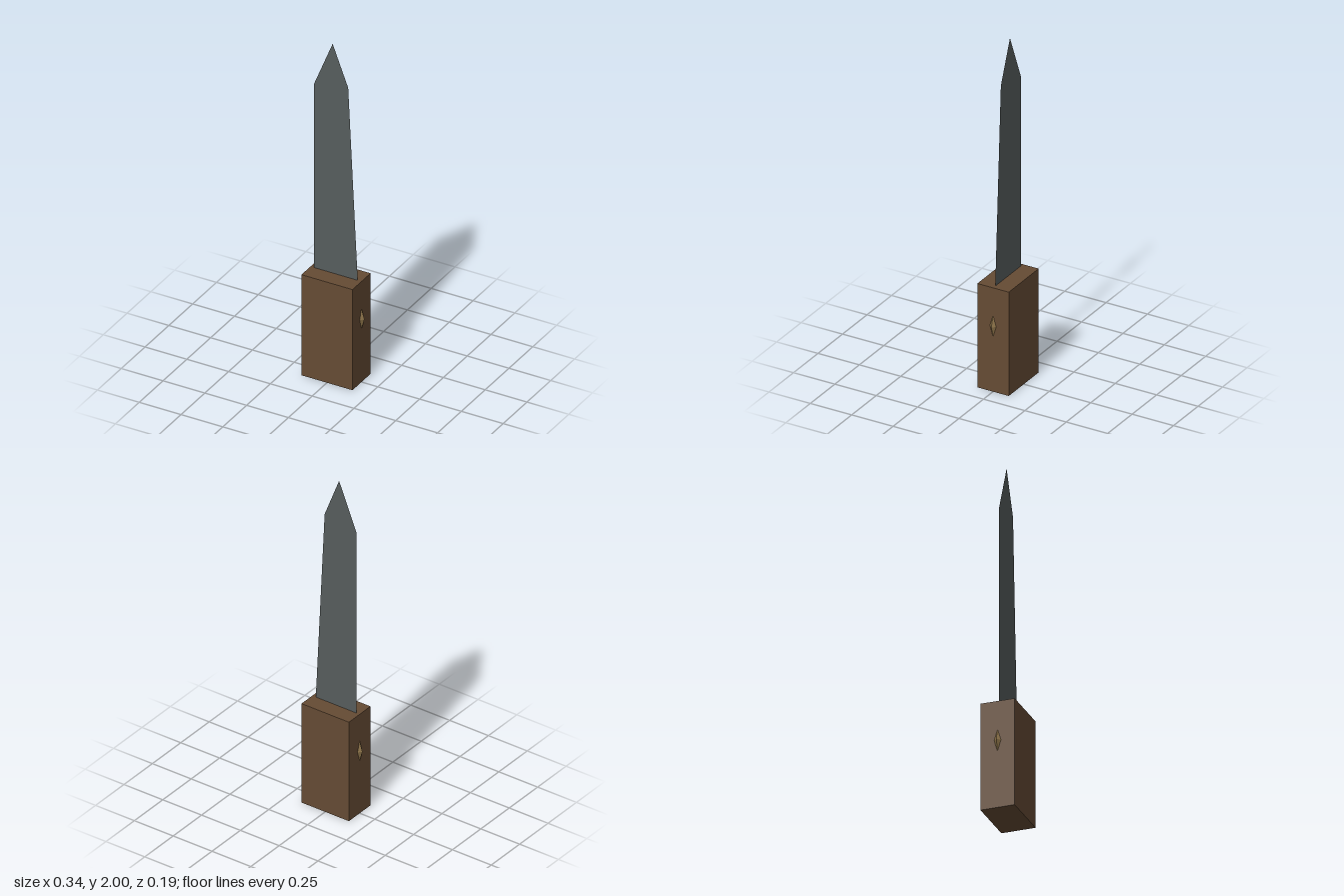
import * as THREE from 'three';

export function createModel() {
  const wood = new THREE.MeshStandardMaterial({ color: 0x654b34, flatShading: true });
  wood.name = 'brown wood';
  const steel = new THREE.MeshStandardMaterial({ color: 0x565d5d, flatShading: true, side: THREE.DoubleSide });
  steel.name = 'grey steel';
  const brass = new THREE.MeshStandardMaterial({ color: 0x8c7349, flatShading: true });
  brass.name = 'dull brass';

  const group = new THREE.Group();
  group.name = 'knife';
  const add = (name, geometry, material) => {
    const mesh = new THREE.Mesh(geometry, material);
    mesh.name = name;
    group.add(mesh);
    return mesh;
  };

  // Square block handle
  const handleHeight = 0.61;
  add('handle', new THREE.BoxGeometry(0.305, handleHeight, 0.19), wood)
    .position.y = handleHeight / 2;

  // Flat sheet blade: straight back, tapering edge, pointed tip
  const outline = [
    [-0.133, handleHeight], [0.13, handleHeight], [0.073, 1.76], [-0.02, 2], [-0.133, 1.72],
  ].map(([x, y]) => new THREE.Vector2(x, y));
  add('blade', new THREE.ShapeGeometry(new THREE.Shape(outline)), steel);

  // Diamond studs on both narrow sides of the handle
  for (const side of [1, -1]) {
    const stud = new THREE.ConeGeometry(1, 1, 4, 1, true)
      .translate(0, 0.5, 0)
      .rotateZ(-side * Math.PI / 2)
      .scale(0.018, 0.062, 0.019);
    add(side > 0 ? 'leftStud' : 'rightStud', stud, brass)
      .position.set(side * 0.1525, 0.385, 0);
  }

  return group;
}
